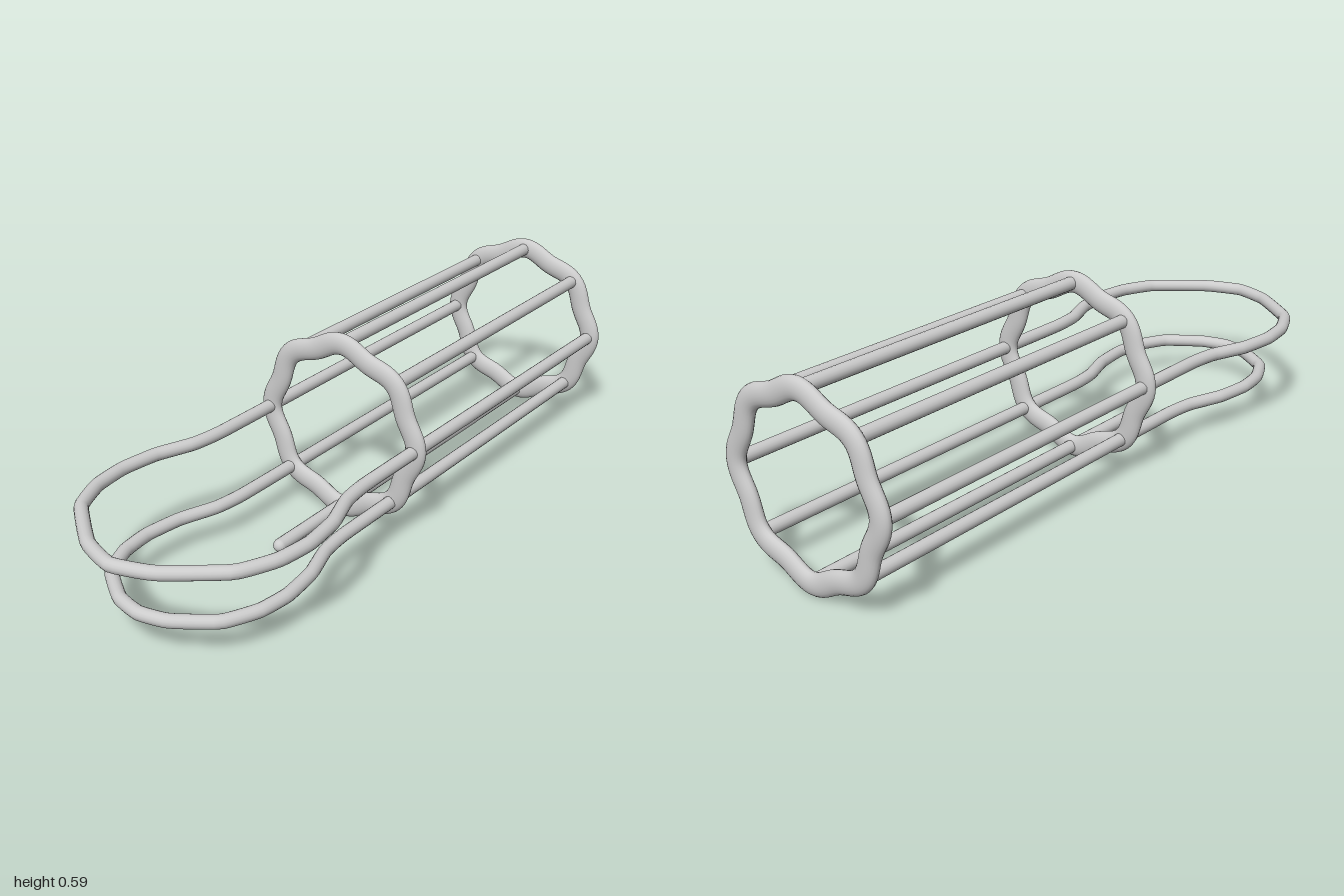
import * as THREE from 'three';

const material = new THREE.MeshStandardMaterial({ color: 0xcccccc });
const CY = 0.293;      // height of the ring centre
const R = 0.26;        // radius on which the rods sit
const ROD = 0.0195;    // rod radius
const BACK = -0.98, MID = 0.055;

// Closed ring outline: an octagon with softened corners
class RingCurve extends THREE.Curve {
  getPoint(t, target = new THREE.Vector3()) {
    const a = t * Math.PI * 2;
    const r = 0.2505 + 0.0093 * Math.cos(8 * a);
    return target.set(r * Math.cos(a), r * Math.sin(a), 0);
  }
}

export function createModel() {
  const group = new THREE.Group();
  const add = (name, geometry, x = 0, y = 0, z = 0) => {
    const mesh = new THREE.Mesh(geometry, material);
    mesh.name = name;
    mesh.position.set(x, y, z);
    group.add(mesh);
    return mesh;
  };

  // Two hoops, flattened front to back
  const hoop = new THREE.TubeGeometry(new RingCurve(), 128, 0.033, 20, true);
  hoop.scale(1, 1, 0.6);
  add('middleHoop', hoop, 0, CY, MID);
  add('backHoop', hoop, 0, CY, BACK);

  // Straight rods with rounded ends
  const rod = (name, x, y, front) => {
    const length = front - BACK;
    const geometry = new THREE.CapsuleGeometry(ROD, length - 2 * ROD, 6, 16);
    geometry.rotateX(Math.PI / 2);
    add(name, geometry, x, y, (front + BACK) / 2);
  };
  const d = 0.184;
  rod('topRod', 0, CY + R, MID);
  rod('upperLeftRod', d, CY + d, MID);
  rod('upperRightRod', -d, CY + d, MID);
  rod('bottomRod', 0, 0.035, 0.365);

  // Bent loops: left half as [x, z], mirrored to the right
  const loop = (name, y, half) => {
    const left = half.map(([x, z]) => new THREE.Vector3(x, y, z));
    const right = left.slice(0, -1).reverse().map((p) => new THREE.Vector3(-p.x, y, p.z));
    const path = new THREE.CatmullRomCurve3([...left, ...right], false, 'catmullrom', 0.2);
    add(name, new THREE.TubeGeometry(path, 200, ROD, 16));
  };
  loop('upperLoop', CY, [
    [0.258, BACK], [0.258, -0.3], [0.258, 0.28], [0.27, 0.39], [0.31, 0.5], [0.325, 0.615],
    [0.312, 0.72], [0.262, 0.825], [0.115, 0.94], [0, 0.978],
  ]);
  loop('lowerLoop', 0.111, [
    [0.185, BACK], [0.185, -0.3], [0.185, 0.28], [0.197, 0.39], [0.235, 0.5], [0.25, 0.615],
    [0.238, 0.71], [0.192, 0.805], [0.085, 0.88], [0, 0.9],
  ]);

  return group;
}
